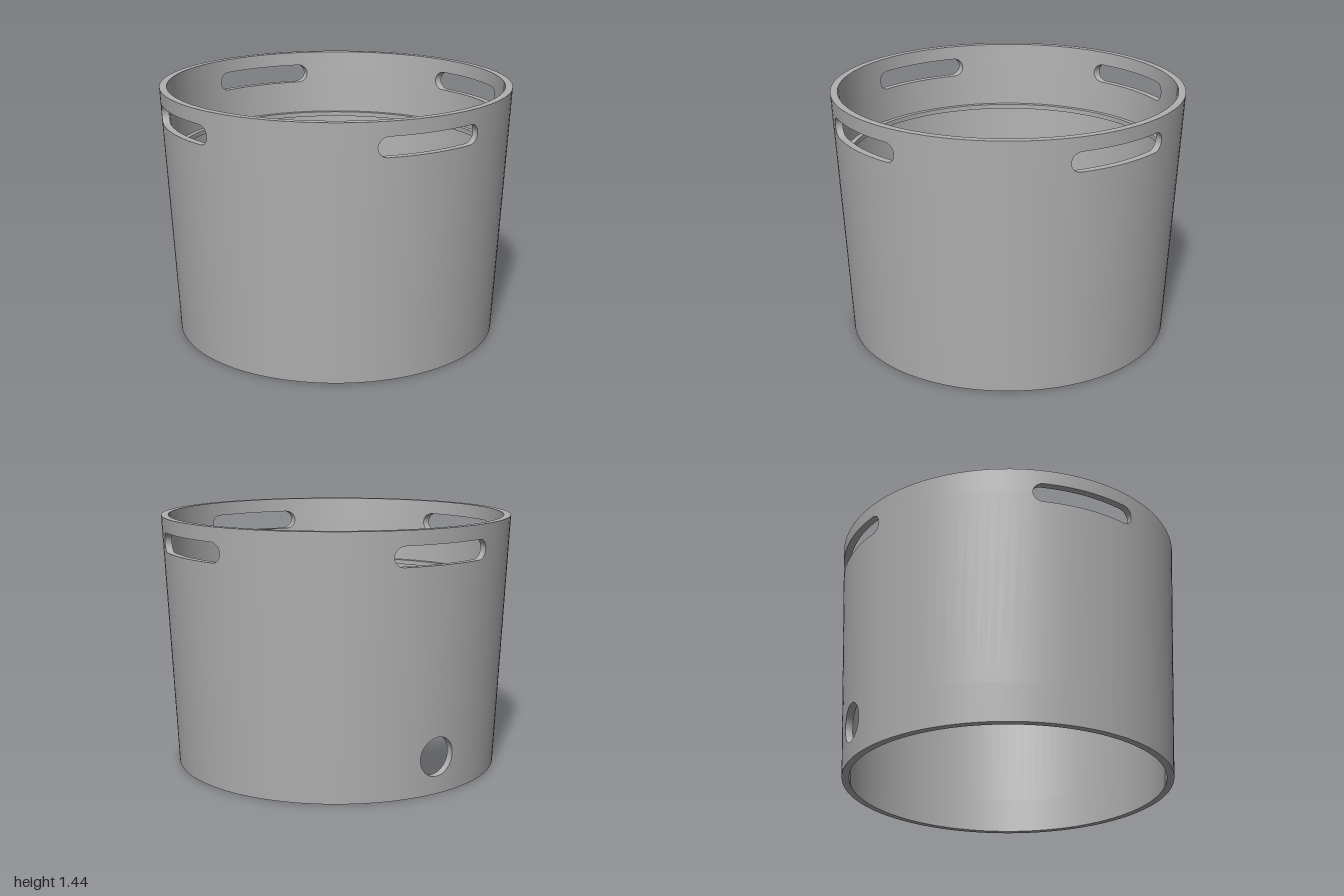
import * as THREE from 'three';
import { toCreasedNormals } from 'three/addons/utils/BufferGeometryUtils.js';

const HEIGHT = 1.44, WALL = 0.041;
const SLOT = { y: 1.305, half: 0.305, r: 0.055 };
const HOLE = { y: 0.21, half: 0.11, r: 0.11 };
const outerRadius = (y) => 0.93 + (0.07 * y) / HEIGHT;

// Half height of a round-ended opening at sideways distance x
function openingAt(o, x) {
  const past = Math.max(0, Math.abs(x) - (o.half - o.r));
  return past >= o.r - 1e-6 ? 0 : Math.sqrt(o.r * o.r - past * past);
}

// Column positions across one quarter: s within the slot is x, beyond it an angle blend
function quarterColumns() {
  const half = [0];
  for (let i = 1; i <= 10; i++) half.push(HOLE.half * Math.sin((i / 10) * Math.PI / 2));
  for (let i = 1; i <= 4; i++) half.push(0.11 + 0.14 * (i / 4));
  for (let i = 1; i <= 8; i++) half.push(0.25 + SLOT.r * Math.sin((i / 8) * Math.PI / 2));
  const cols = half.map((x) => ({ x, t: 0 }));
  for (let i = 1; i <= 8; i++) cols.push({ x: SLOT.half, t: i / 8 });
  const mirrored = cols.slice(1).reverse().map((c) => ({ x: -c.x, t: c.t }));
  return [...mirrored, ...cols];
}

// Tapered wall with straight-cut openings
function wallGeometry() {
  const pos = [];
  const cols = quarterColumns();

  const point = (c, y, inner, q) => {
    const r = outerRadius(y) - (inner ? WALL : 0);
    const edge = Math.asin(c.x / r);
    const a = edge + c.t * (Math.sign(c.x) * Math.PI / 4 - edge) + (q * Math.PI) / 2;
    return [r * Math.sin(a), y, r * Math.cos(a)];
  };
  const quad = (a, b, c, d) => pos.push(...a, ...b, ...c, ...a, ...c, ...d);

  for (let q = 0; q < 4; q++) {
    // Heights where the wall starts and stops in a column
    const levels = (c) => {
      const h = q === 2 ? openingAt(HOLE, c.x) : 0;
      const s = c.t > 0 ? 0 : openingAt(SLOT, c.x);
      return [0, HOLE.y - h, HOLE.y + h, SLOT.y - s, SLOT.y + s, HEIGHT];
    };
    for (let i = 0; i < cols.length - 1; i++) {
      const a = cols[i], b = cols[i + 1];
      const la = levels(a), lb = levels(b);
      // Outer and inner skin
      for (let k = 0; k < 6; k += 2) {
        const skin = (inner) => [
          point(a, la[k], inner, q), point(b, lb[k], inner, q),
          point(b, lb[k + 1], inner, q), point(a, la[k + 1], inner, q)];
        quad(...skin(false));
        quad(...skin(true).reverse());
      }
      // Rims and the cut edges of the openings
      for (let k = 0; k < 6; k++) {
        const inOpening = k > 0 && k < 5;
        const m = k < 3 ? 1 : 3;
        if (inOpening && la[m + 1] - la[m] < 1e-6 && lb[m + 1] - lb[m] < 1e-6) continue;
        const face = [
          point(a, la[k], false, q), point(b, lb[k], false, q),
          point(b, lb[k], true, q), point(a, la[k], true, q)];
        quad(...(k % 2 ? face : face.reverse()));
      }
    }
  }
  const g = new THREE.BufferGeometry();
  g.setAttribute('position', new THREE.Float32BufferAttribute(pos, 3));
  return toCreasedNormals(g, 0.5);
}

export function createModel() {
  const group = new THREE.Group();
  group.name = 'openTub';
  const grey = new THREE.MeshStandardMaterial({ color: 0xb0b0b0 });
  grey.name = 'grey';

  const wall = new THREE.Mesh(wallGeometry(), grey);
  wall.name = 'wall';
  group.add(wall);

  // Thin support ring inside the wall
  const profile = [[0.95, 1.025], [0.95, 1.053], [0.912, 1.053], [0.912, 1.025], [0.95, 1.025]]
    .map(([r, y]) => new THREE.Vector2(r, y));
  const ring = new THREE.Mesh(toCreasedNormals(new THREE.LatheGeometry(profile, 128), 0.5), grey);
  ring.name = 'innerLedge';
  group.add(ring);

  return group;
}
